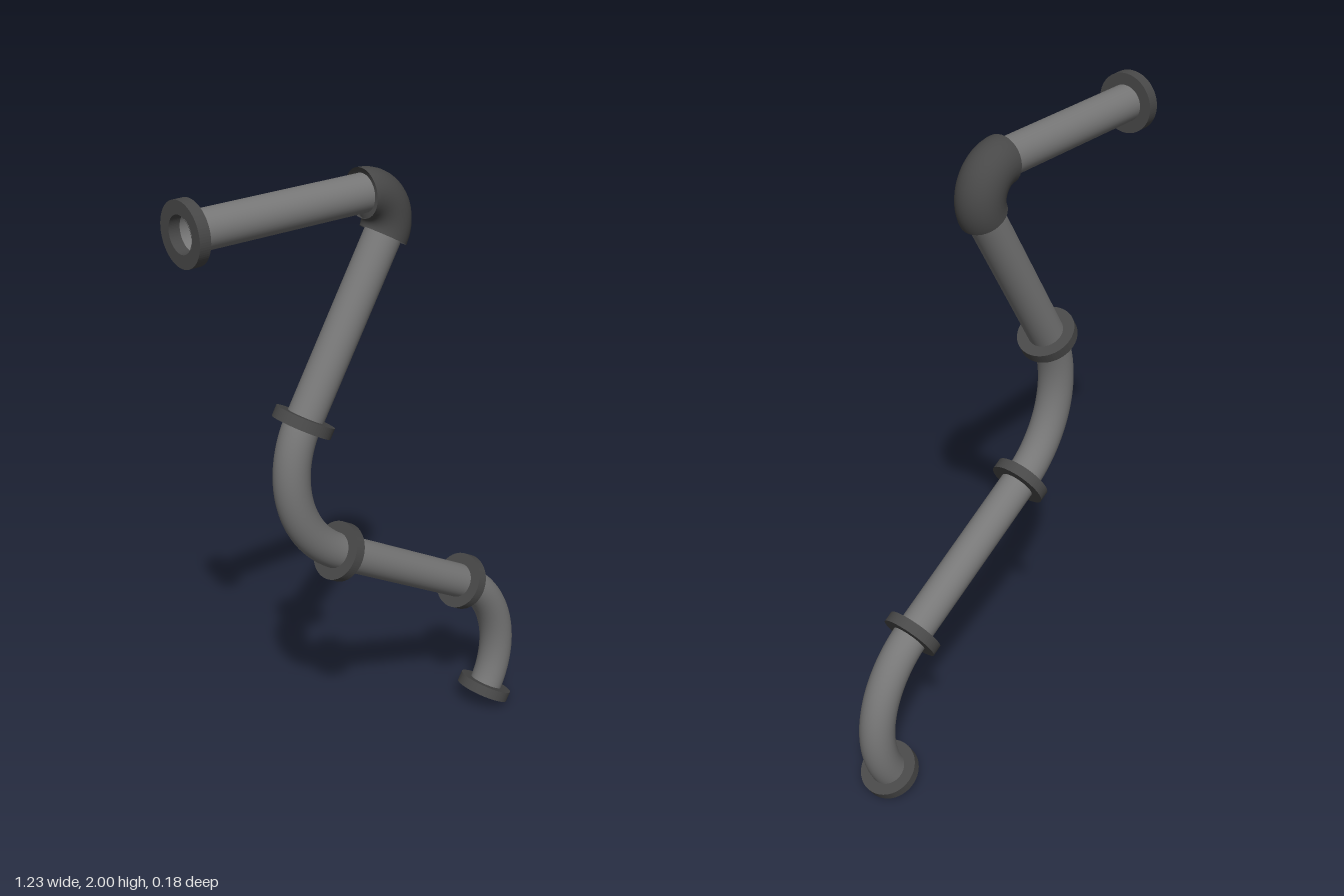
import * as THREE from 'three';

const PIPE_R = 0.055, ELBOW_R = 0.071, FLANGE_R = 0.09, FLANGE_T = 0.034, BEND = 0.34;
const UP = new THREE.Vector3(0, 1, 0);
const deg = THREE.MathUtils.degToRad;

export function createModel() {
  const group = new THREE.Group();
  const pipeMat = new THREE.MeshStandardMaterial({ color: 0x777777, side: THREE.DoubleSide });
  const darkMat = new THREE.MeshStandardMaterial({ color: 0x484848, side: THREE.DoubleSide });

  function add(name, geometry, material) {
    const mesh = new THREE.Mesh(geometry, material);
    mesh.name = name;
    group.add(mesh);
    return mesh;
  }

  // Straight open pipe between two points
  function pipe(name, a, b) {
    const axis = b.clone().sub(a);
    const mesh = add(name, new THREE.CylinderGeometry(PIPE_R, PIPE_R, axis.length(), 40, 1, true), pipeMat);
    mesh.position.copy(a).lerp(b, 0.5);
    mesh.quaternion.setFromUnitVectors(UP, axis.normalize());
  }

  // Curved open pipe in the xy plane, swept from a start angle
  function bend(name, center, radius, tube, start, sweep, material) {
    const mesh = add(name, new THREE.TorusGeometry(radius, tube, 32, 40, deg(sweep)), material);
    mesh.position.copy(center);
    mesh.rotation.z = deg(start);
  }

  // Flat ring around the pipe, with sharp rims
  function flange(name, at, direction) {
    const shape = new THREE.Shape().absarc(0, 0, FLANGE_R, 0, Math.PI * 2);
    shape.holes.push(new THREE.Path().absarc(0, 0, PIPE_R - 0.003, 0, Math.PI * 2, true));
    const geometry = new THREE.ExtrudeGeometry(shape, { depth: FLANGE_T, bevelEnabled: false, curveSegments: 40 });
    geometry.translate(0, 0, -FLANGE_T / 2);
    const mesh = add(name, geometry, darkMat);
    mesh.position.copy(at);
    mesh.quaternion.setFromUnitVectors(new THREE.Vector3(0, 0, 1), direction.clone().normalize());
  }

  const P = (x, y, z = 0) => new THREE.Vector3(x, y, z);
  const topEnd = P(-0.618, 1.91, -0.004), elbowIn = P(-0.03, 1.91, 0.007);
  const elbowOut = P(0.043, 1.777, 0.007);
  const jointA = P(-0.243, 1.282, 0.001), jointB = P(-0.119, 0.818);
  const jointC = P(0.388, 0.526), outlet = P(0.512, 0.062);
  const steep = P(-0.5, -0.866), shallow = P(0.866, -0.5);

  // Straight runs
  pipe('topPipe', topEnd, elbowIn);
  pipe('upperSlopedPipe', elbowOut.clone().addScaledVector(steep, -0.01), jointA);
  pipe('lowerSlopedPipe', jointB, jointC);

  // Tight elbow and the two wide bends
  bend('elbow', P(-0.035, 1.82, 0.007), 0.09, ELBOW_R, -30, 120, darkMat);
  bend('middleBend', jointA.clone().addScaledVector(shallow, BEND).setZ(0), BEND, PIPE_R, 150, 90, pipeMat);
  bend('outletBend', jointC.clone().addScaledVector(steep, BEND), BEND, PIPE_R, -30, 90, pipeMat);

  // Flanges at the joints and open ends
  flange('topFlange', topEnd.clone().add(P(FLANGE_T / 2, 0)), P(1, 0));
  flange('upperJointFlange', jointA, steep);
  flange('middleJointFlange', jointB, shallow);
  flange('lowerJointFlange', jointC, shallow);
  flange('outletFlange', outlet, steep);

  return group;
}
